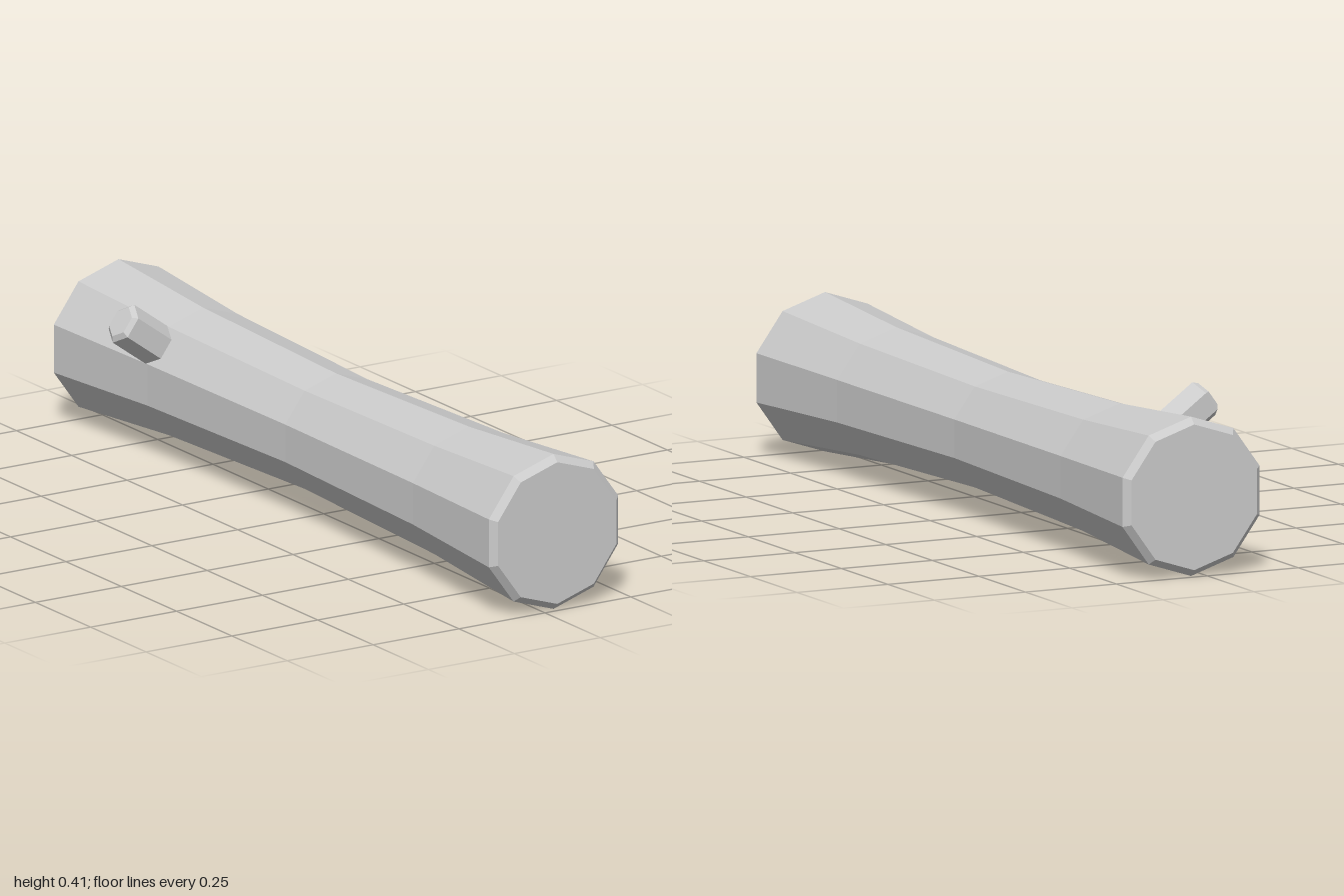
import * as THREE from 'three';

const material = new THREE.MeshStandardMaterial({ color: 0xcccccc, flatShading: true });

// Faceted solid of revolution around y from [radius, height] pairs, bottom to top
function turned(name, profile, sides, phiStart = 0) {
  const points = profile.map(([r, y]) => new THREE.Vector2(r, y));
  const mesh = new THREE.Mesh(new THREE.LatheGeometry(points, sides, phiStart), material);
  mesh.name = name;
  return mesh;
}

export function createModel() {
  const model = new THREE.Group();
  model.name = 'handle';
  const axis = new THREE.Vector3(0.036, 0.199, 0);

  // Ten-sided grip, waisted in the middle with bevelled ends
  const half = [[0.155, 0], [0.171, 0.6], [0.198, 0.983], [0.181, 1], [0, 1]];
  const mirrored = half.slice(1).reverse().map(([r, y]) => [r, -y]);
  const grip = turned('grip', [...mirrored, ...half], 10);
  grip.rotation.x = Math.PI / 2;
  grip.position.copy(axis);
  model.add(grip);

  // Six-sided bevelled peg standing on the upper right facet near the back
  const peg = turned('peg', [[0, 0.12], [0.0535, 0.12], [0.0535, 0.281], [0.041, 0.292], [0, 0.292]], 6, Math.PI / 2);
  peg.scale.z = 0.92;
  peg.rotation.z = THREE.MathUtils.degToRad(54);
  peg.position.set(axis.x, axis.y, -0.607);
  model.add(peg);

  return model;
}
